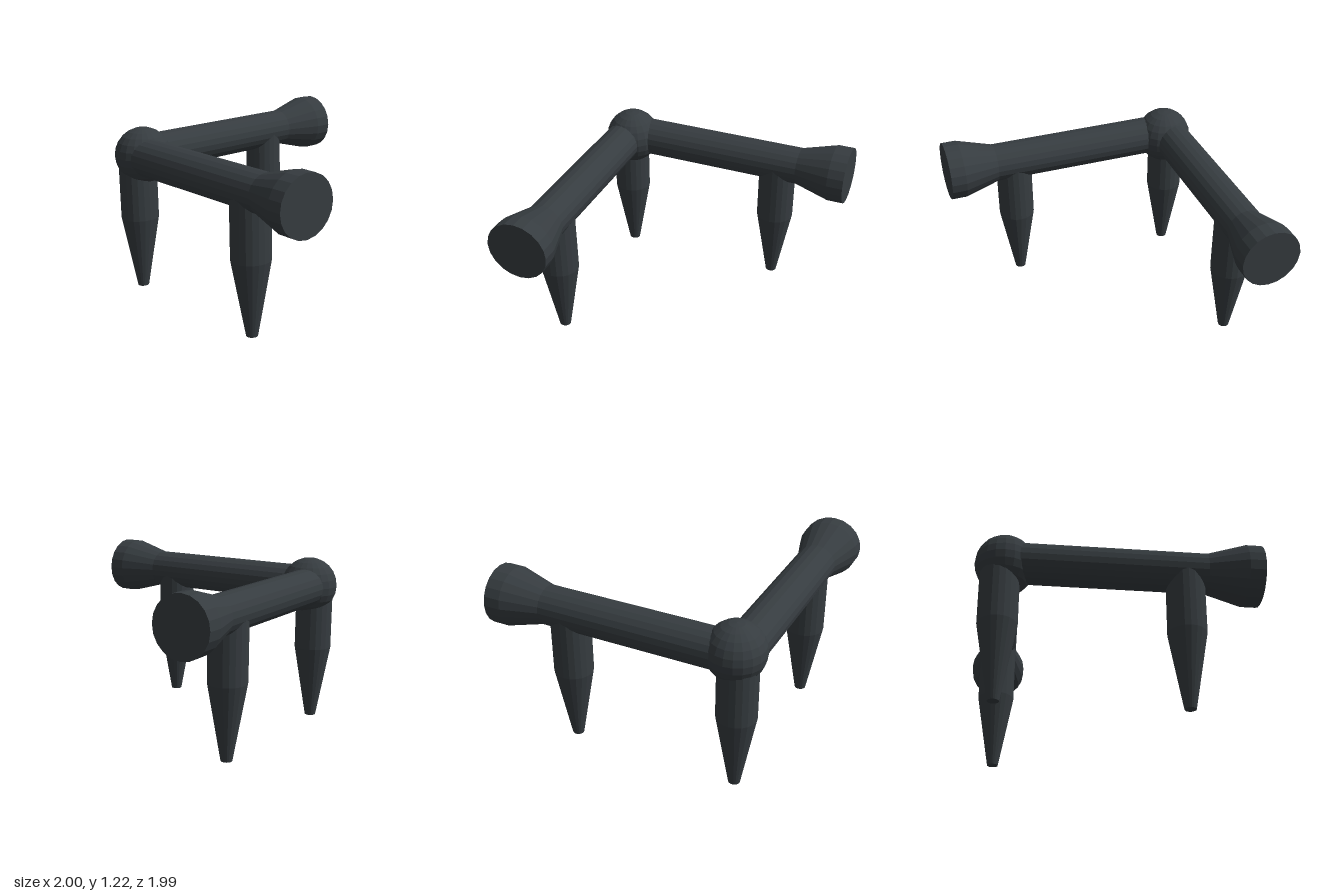
import * as THREE from 'three';

const SIDES = 20;

// Closed solid of revolution around y from [radius, height] pairs, listed upward
function turned(name, profile, material) {
  const points = profile.map(([r, h]) => new THREE.Vector2(r, h));
  const mesh = new THREE.Mesh(new THREE.LatheGeometry(points, SIDES), material);
  mesh.name = name;
  return mesh;
}

export function createModel() {
  const model = new THREE.Group();
  model.name = 'cornerPipeStand';
  const metal = new THREE.MeshStandardMaterial({ color: 0x363c40, flatShading: true });
  metal.name = 'darkMetal';
  const pipeY = 1.01;
  const corner = -0.78;

  // Horizontal pipes: straight run, flare, then a short wide collar
  const pipeProfile = (start, end) => [
    [0, start], [0.138, start], [0.138, 0.62], [0.21, 0.88], [0.21, end], [0, end],
  ];

  const sidePipe = turned('sidePipe', pipeProfile(-0.68, 0.99), metal);
  sidePipe.geometry.rotateX(Math.PI / 2);
  sidePipe.scale.x = 1.05;
  sidePipe.position.set(corner, pipeY, 0);

  const backPipe = turned('backPipe', pipeProfile(-0.68, 1.0), metal);
  backPipe.geometry.rotateZ(-Math.PI / 2);
  backPipe.rotation.y = 0.005;
  backPipe.position.set(0, pipeY, corner - 0.004);
  model.add(sidePipe, backPipe);

  // Ball joint where the pipes meet
  const joint = new THREE.Mesh(new THREE.SphereGeometry(0.205, SIDES, 12), metal);
  joint.name = 'cornerJoint';
  joint.position.set(-0.748, pipeY, -0.748);
  model.add(joint);

  // Legs: round posts tapering to narrow feet
  const legProfile = [[0, 0], [0.041, 0], [0.139, 0.54], [0.139, 1.0], [0, 1.0]];
  const legs = { cornerLeg: [corner, corner], backLeg: [0.45, corner - 0.005], sideLeg: [corner, 0.475] };
  for (const [name, [x, z]] of Object.entries(legs)) {
    const leg = turned(name, legProfile, metal);
    leg.scale.z = 0.965;
    leg.position.set(x, 0, z);
    model.add(leg);
  }
  return model;
}
